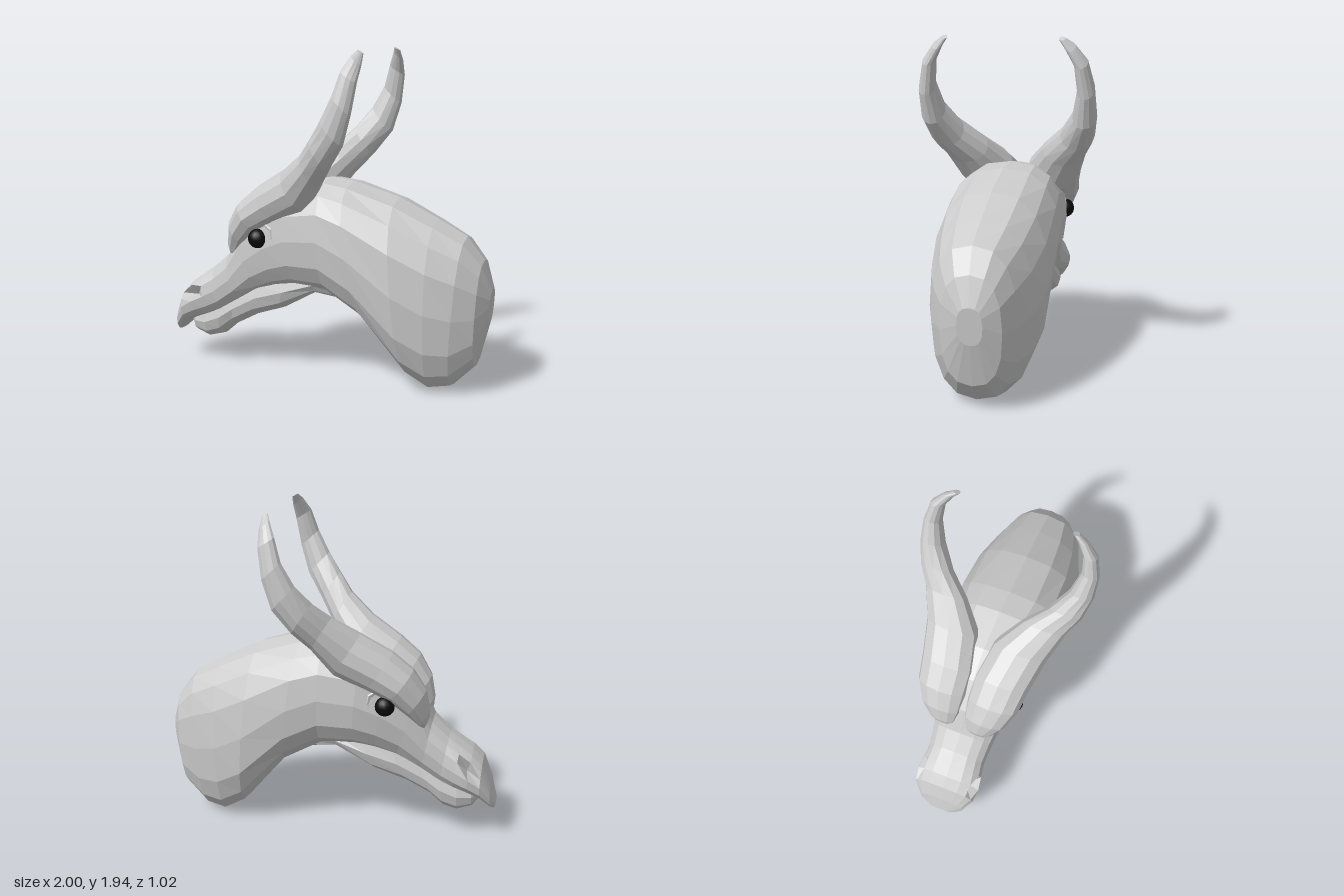
import * as THREE from 'three';

const grey = new THREE.MeshStandardMaterial({ color: 0xcccccc, flatShading: true });
const black = new THREE.MeshStandardMaterial({ color: 0x0a0a0a });

// Skin over sections [topX, topY, bottomX, bottomY, halfWidth, centreZ], with a squareness power
function loft(name, sections, sides, power = 1) {
  const pos = [], idx = [];
  const bend = v => Math.sign(v) * Math.abs(v) ** power;
  for (const [tx, ty, bx, by, w, z] of sections) {
    for (let j = 0; j < sides; j++) {
      const a = (j / sides) * Math.PI * 2, c = bend(Math.cos(a)) / 2, s = bend(Math.sin(a));
      pos.push((tx + bx) / 2 + (tx - bx) * c, (ty + by) / 2 + (ty - by) * c, z + w * s);
    }
  }
  const n = sections.length;
  for (let i = 0; i < n - 1; i++) {
    for (let j = 0; j < sides; j++) {
      const k = (j + 1) % sides;
      const a = i * sides + j, b = i * sides + k, c = a + sides, d = b + sides;
      idx.push(a, c, b, b, c, d);
    }
  }
  // End caps
  for (const i of [0, n - 1]) {
    const [tx, ty, bx, by, , z] = sections[i], centre = pos.length / 3;
    pos.push((tx + bx) / 2, (ty + by) / 2, z);
    for (let j = 0; j < sides; j++) {
      const a = i * sides + j, b = i * sides + (j + 1) % sides;
      idx.push(centre, ...(i === 0 ? [a, b] : [b, a]));
    }
  }
  const geo = new THREE.BufferGeometry();
  geo.setAttribute('position', new THREE.Float32BufferAttribute(pos, 3));
  geo.setIndex(idx);
  geo.computeVertexNormals();
  const mesh = new THREE.Mesh(geo, grey);
  mesh.name = name;
  return mesh;
}

export function createModel() {
  const model = new THREE.Group();
  model.name = 'hornedHead';

  // Neck, skull and upper muzzle in one skin, from the rounded neck end to the lip
  const head = loft('neckAndHead', [
    [1.00, 0.61, 0.985, 0.40, 0.07, 0.01],
    [0.95, 0.77, 0.92, 0.15, 0.17, 0.02],
    [0.85, 0.90, 0.79, 0.02, 0.24, 0.03],
    [0.68, 0.99, 0.67, 0.00, 0.295, 0.03],
    [0.45, 1.10, 0.54, 0.08, 0.335, 0.03],
    [0.17, 1.18, 0.28, 0.39, 0.335, 0.03],
    [0.03, 1.195, 0.05, 0.52, 0.31, 0.02],
    [-0.20, 1.15, -0.15, 0.53, 0.29, 0.01],
    [-0.37, 1.05, -0.27, 0.51, 0.26, 0.01],
    [-0.52, 0.90, -0.40, 0.47, 0.22, 0.01],
    [-0.61, 0.71, -0.55, 0.39, 0.19, 0.015],
    [-0.71, 0.62, -0.66, 0.32, 0.18, 0.015],
    [-0.78, 0.57, -0.74, 0.29, 0.19, 0.015],
    [-0.85, 0.52, -0.82, 0.27, 0.20, 0.015],
    [-0.91, 0.46, -0.90, 0.24, 0.19, 0.015],
    [-0.96, 0.34, -0.97, 0.18, 0.14, 0.015],
    [-1.00, 0.20, -0.985, 0.165, 0.07, 0.015],
  ], 16, 0.8);
  // Nostrils: one corner each side of the muzzle pushed inwards
  const p = head.geometry.attributes.position;
  for (const [corner, side] of [[3, 1], [13, -1]]) {
    const v = 13 * 16 + corner;
    p.setXYZ(v, p.getX(v) + 0.02, p.getY(v) - 0.03, p.getZ(v) - 0.08 * side);
  }
  model.add(head);

  // Lower jaw, closed against the muzzle, with a rounded chin
  model.add(loft('lowerJaw', [
    [0.20, 0.62, 0.20, 0.46, 0.13, 0.02],
    [0.00, 0.64, -0.05, 0.50, 0.17, 0.02],
    [-0.18, 0.64, -0.28, 0.37, 0.18, 0.01],
    [-0.36, 0.59, -0.47, 0.305, 0.165, 0.01],
    [-0.54, 0.49, -0.61, 0.23, 0.145, 0.01],
    [-0.65, 0.43, -0.69, 0.16, 0.15, 0.01],
    [-0.77, 0.37, -0.77, 0.14, 0.145, 0.01],
    [-0.85, 0.33, -0.86, 0.17, 0.115, 0.01],
    [-0.89, 0.30, -0.90, 0.22, 0.06, 0.01],
  ], 12, 0.9));

  // Horn from tip to heavy brow
  const horn = [
    [0.29, 1.94, 0.325, 1.92, 0.018, 0.33],
    [0.27, 1.91, 0.33, 1.86, 0.03, 0.375],
    [0.23, 1.83, 0.325, 1.77, 0.04, 0.43],
    [0.19, 1.70, 0.30, 1.60, 0.05, 0.455],
    [0.12, 1.57, 0.25, 1.43, 0.07, 0.44],
    [0.04, 1.46, 0.15, 1.29, 0.10, 0.385],
    [-0.05, 1.36, 0.06, 1.18, 0.13, 0.295],
    [-0.20, 1.25, -0.05, 1.01, 0.165, 0.205],
    [-0.38, 1.14, -0.23, 0.92, 0.165, 0.165],
    [-0.50, 1.04, -0.36, 0.86, 0.155, 0.155],
    [-0.575, 0.92, -0.46, 0.77, 0.125, 0.135],
    [-0.60, 0.80, -0.53, 0.69, 0.08, 0.115],
    [-0.595, 0.74, -0.56, 0.67, 0.05, 0.11],
  ];

  for (const [side, label] of [[1, 'left'], [-1, 'right']]) {
    model.add(loft(label + 'Horn', horn.map(s => [...s.slice(0, 5), s[5] * side]), 12));

    // Eye with a lid around it
    const eye = new THREE.Mesh(new THREE.SphereGeometry(0.058, 16, 12), black);
    eye.name = label + 'Eye';
    eye.position.set(-0.35, 0.84, 0.245 * side + 0.01);
    model.add(eye);
    const lid = new THREE.Mesh(new THREE.TorusGeometry(0.075, 0.022, 5, 10), grey);
    lid.name = label + 'Eyelid';
    lid.position.set(-0.335, 0.845, 0.225 * side + 0.01);
    lid.rotation.set(0, -0.3 * side, 0.6);
    lid.scale.set(1.25, 0.9, 1);
    model.add(lid);
  }
  return model;
}
